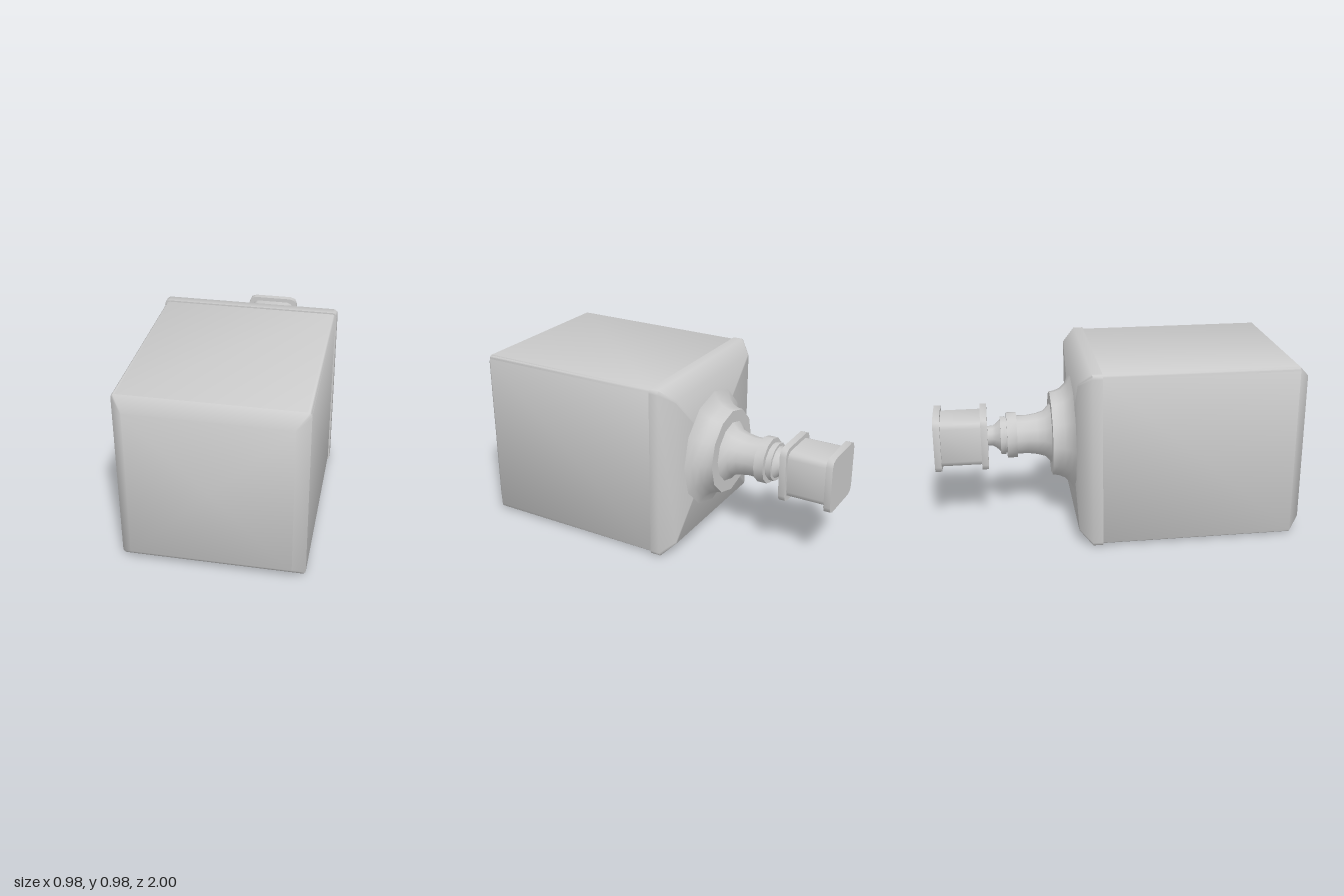
import * as THREE from 'three';
import { toCreasedNormals } from 'three/addons/utils/BufferGeometryUtils.js';

const AXIS_Y = 0.488; // height of the bottle's long axis
const CREASE = 0.9;

// Outline of a square with rounded corners, counter-clockwise seen from +z
function squareOutline(half, corner, steps) {
  const points = [];
  for (let q = 0; q < 4; q++) {
    const mid = Math.PI / 4 + q * Math.PI / 2;
    const cx = Math.sign(Math.cos(mid)) * (half - corner);
    const cy = Math.sign(Math.sin(mid)) * (half - corner);
    for (let s = 0; s <= steps; s++) {
      const a = (q + s / steps) * Math.PI / 2;
      points.push([cx + corner * Math.cos(a), cy + corner * Math.sin(a)]);
    }
  }
  return points;
}

// Closed loft through square sections [z, half width, corner radius], front to back
function squareLoft(sections, steps) {
  const positions = [], index = [];
  const n = 4 * (steps + 1);
  for (const [z, half, corner] of sections) {
    for (const [x, y] of squareOutline(half, corner, steps)) positions.push(x, y, z);
  }
  const last = (sections.length - 1) * n;
  const front = positions.length / 3, back = front + 1;
  positions.push(0, 0, sections[0][0], 0, 0, sections[sections.length - 1][0]);
  for (let j = 0; j < n; j++) {
    const k = (j + 1) % n;
    for (let r = 0; r < last; r += n) {
      index.push(r + j, r + n + j, r + k, r + k, r + n + j, r + n + k);
    }
    index.push(front, j, k, back, last + k, last + j);
  }
  const geometry = new THREE.BufferGeometry();
  geometry.setAttribute('position', new THREE.Float32BufferAttribute(positions, 3));
  geometry.setIndex(index);
  return toCreasedNormals(geometry, CREASE);
}

// Turned part from [radius, z] points, running from front to back
function turned(profile) {
  const points = profile.map(([r, z]) => new THREE.Vector2(r, -z));
  const geometry = new THREE.LatheGeometry(points, 12);
  geometry.rotateX(-Math.PI / 2);
  return toCreasedNormals(geometry, CREASE);
}

export function createModel() {
  const model = new THREE.Group();
  model.name = 'squareBottle';
  const material = new THREE.MeshStandardMaterial({ color: 0xcccccc });
  const add = (name, geometry) => {
    const mesh = new THREE.Mesh(geometry, material);
    mesh.name = name;
    mesh.position.y = AXIS_Y;
    model.add(mesh);
  };

  // Square body with a bevelled base
  add('body', squareLoft([[1, 0.415, 0.003], [0.937, 0.48, 0.02], [-0.11, 0.48, 0.02]], 3));

  // Wider rim bevelling in to the flat shoulder
  add('shoulderRim', squareLoft([[-0.11, 0.488, 0.024], [-0.163, 0.488, 0.024], [-0.232, 0.42, 0.01]], 3));

  // Concave round shoulder ending in a sharp step
  add('shoulder', turned([
    [0.335, -0.231], [0.29, -0.252], [0.258, -0.285], [0.244, -0.32], [0.24, -0.35], [0, -0.35],
  ]));

  // Flared neck
  add('neck', turned([
    [0.172, -0.35], [0.132, -0.385], [0.118, -0.43], [0.11, -0.48], [0.11, -0.545],
  ]));

  // Two rings at the mouth
  add('mouthRing', turned([[0, -0.542], [0.13, -0.542], [0.13, -0.597], [0, -0.597]]));
  add('upperRing', turned([
    [0.1, -0.597], [0.1, -0.605], [0.108, -0.605], [0.108, -0.633], [0, -0.633],
  ]));

  // Narrow stem under the stopper
  add('stopperStem', turned([[0.092, -0.633], [0.068, -0.658], [0.058, -0.675], [0.056, -0.708]]));

  // Square stopper between two plates
  add('stopperBlock', squareLoft([[-0.735, 0.131, 0.035], [-0.97, 0.131, 0.035]], 2));
  for (const [name, z] of [['stopperLowerPlate', -0.705], ['stopperTopPlate', -0.963]]) {
    add(name, squareLoft([[z, 0.155, 0.04], [z - 0.037, 0.155, 0.04]], 2));
  }
  return model;
}
